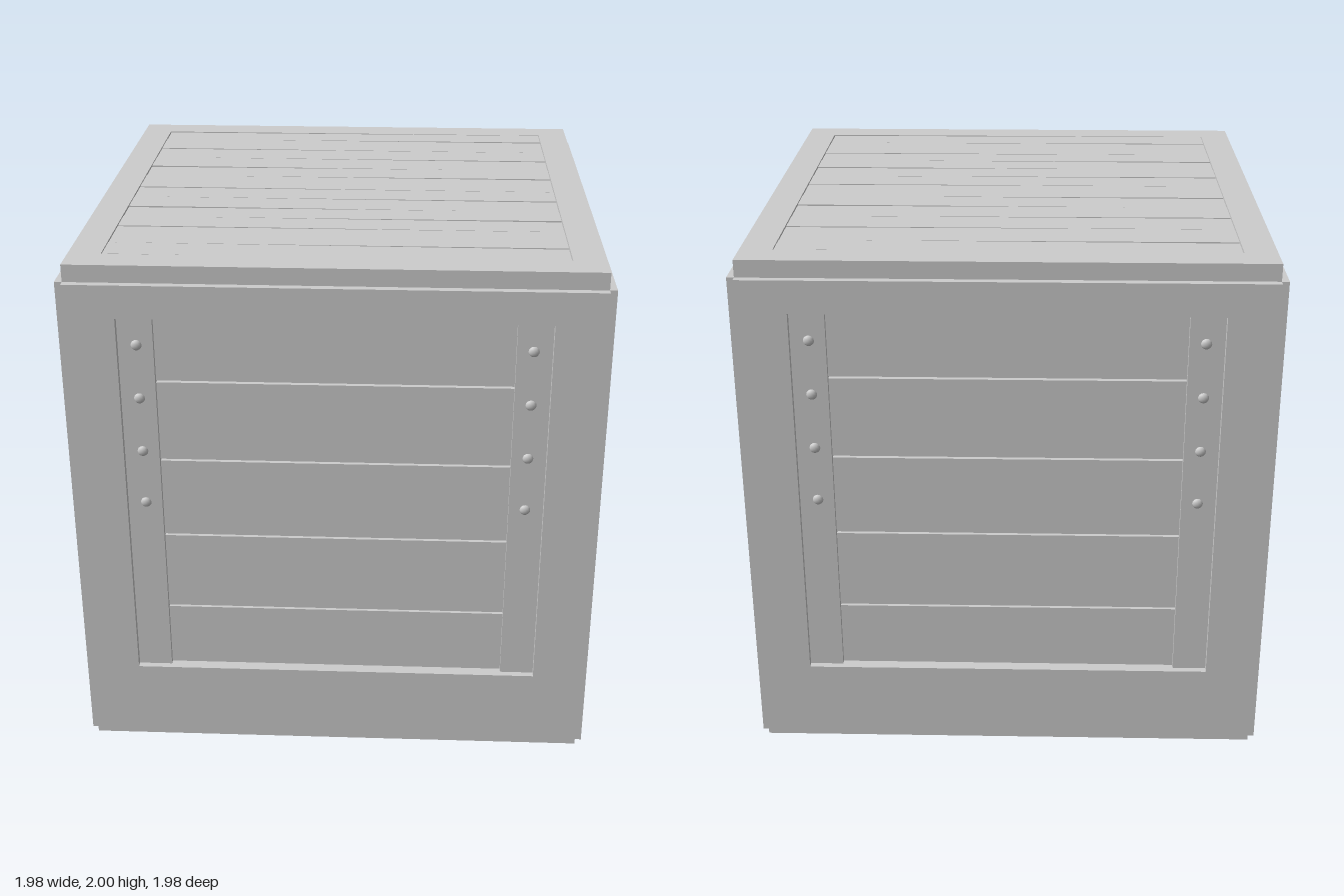
import * as THREE from 'three';

const wood = new THREE.MeshStandardMaterial({ color: 0xcccccc });
wood.name = 'plain grey';

function add(parent, name, geometry, x = 0, y = 0, z = 0) {
  const mesh = new THREE.Mesh(geometry, wood);
  mesh.name = name;
  mesh.position.set(x, y, z);
  parent.add(mesh);
  return mesh;
}

const box = (w, h, d) => new THREE.BoxGeometry(w, h, d);

function rectangle(path, x0, y0, x1, y1) {
  path.moveTo(x0, y0);
  path.lineTo(x1, y0);
  path.lineTo(x1, y1);
  path.lineTo(x0, y1);
  path.closePath();
  return path;
}

// Flat slab with a rectangular opening
function frame(outer, inner, depth) {
  const shape = rectangle(new THREE.Shape(), ...outer);
  shape.holes.push(rectangle(new THREE.Path(), ...inner));
  return new THREE.ExtrudeGeometry(shape, { depth, bevelEnabled: false });
}

// One wall, facing +z: frame, two stiles with bolts, five slats
function createWall() {
  const wall = new THREE.Group();
  const face = 0.988;
  add(wall, 'wallFrame', frame([-0.96, 0.01, 0.96, 1.935], [-0.777, 0.33, 0.777, 1.81], 0.068), 0, 0, face - 0.068);

  const seams = [0.3, 0.59, 0.91, 1.23, 1.55, 1.84];
  for (let i = 0; i < 5; i++) {
    const low = seams[i] + 0.004, high = seams[i + 1] - 0.004;
    add(wall, 'slat', box(1.56, high - low, 0.03), 0, (low + high) / 2, face - 0.06);
  }

  for (const side of [-1, 1]) {
    add(wall, 'stile', box(0.128, 1.48, 0.04), side * 0.713, 1.07, face - 0.045);
    for (const y of [1.06, 1.275, 1.49, 1.7]) {
      const bolt = add(wall, 'bolt', new THREE.SphereGeometry(0.02, 12, 8), side * 0.71, y, face - 0.025);
      bolt.scale.z = 0.6;
    }
  }
  return wall;
}

export function createModel() {
  const crate = new THREE.Group();
  crate.name = 'crate';
  add(crate, 'core', box(1.84, 1.92, 1.84), 0, 0.98, 0);

  ['frontWall', 'leftWall', 'backWall', 'rightWall'].forEach((name, i) => {
    const wall = createWall();
    wall.name = name;
    wall.rotation.y = i * Math.PI / 2;
    crate.add(wall);
  });

  // Lid and base frames
  const rim = [-0.96, -0.96, 0.96, 0.96], opening = [-0.84, -0.84, 0.84, 0.84];
  const lid = add(crate, 'lidFrame', frame(rim, opening, 0.09), 0, 1.91, 0);
  lid.rotation.x = -Math.PI / 2;
  const base = add(crate, 'baseFrame', frame(rim, opening, 0.05), 0, 0.05, 0);
  base.rotation.x = Math.PI / 2;
  add(crate, 'basePanel', box(1.68, 0.03, 1.68), 0, 0.025, 0);

  // Lid boards of uneven width, almost flush with the rim
  const cuts = [-0.84, -0.72, -0.56, -0.42, -0.28, -0.15, 0.02, 0.15, 0.28, 0.4, 0.52, 0.71, 0.84];
  for (let i = 0; i < cuts.length - 1; i++) {
    const width = cuts[i + 1] - cuts[i] - 0.006;
    const board = add(crate, 'lidBoard', box(1.674, 0.04, width), 0, 1.978, (cuts[i] + cuts[i + 1]) / 2);
    board.rotation.z = [0.002, -0.0015, 0.0005, -0.002][i % 4];
  }
  return crate;
}
